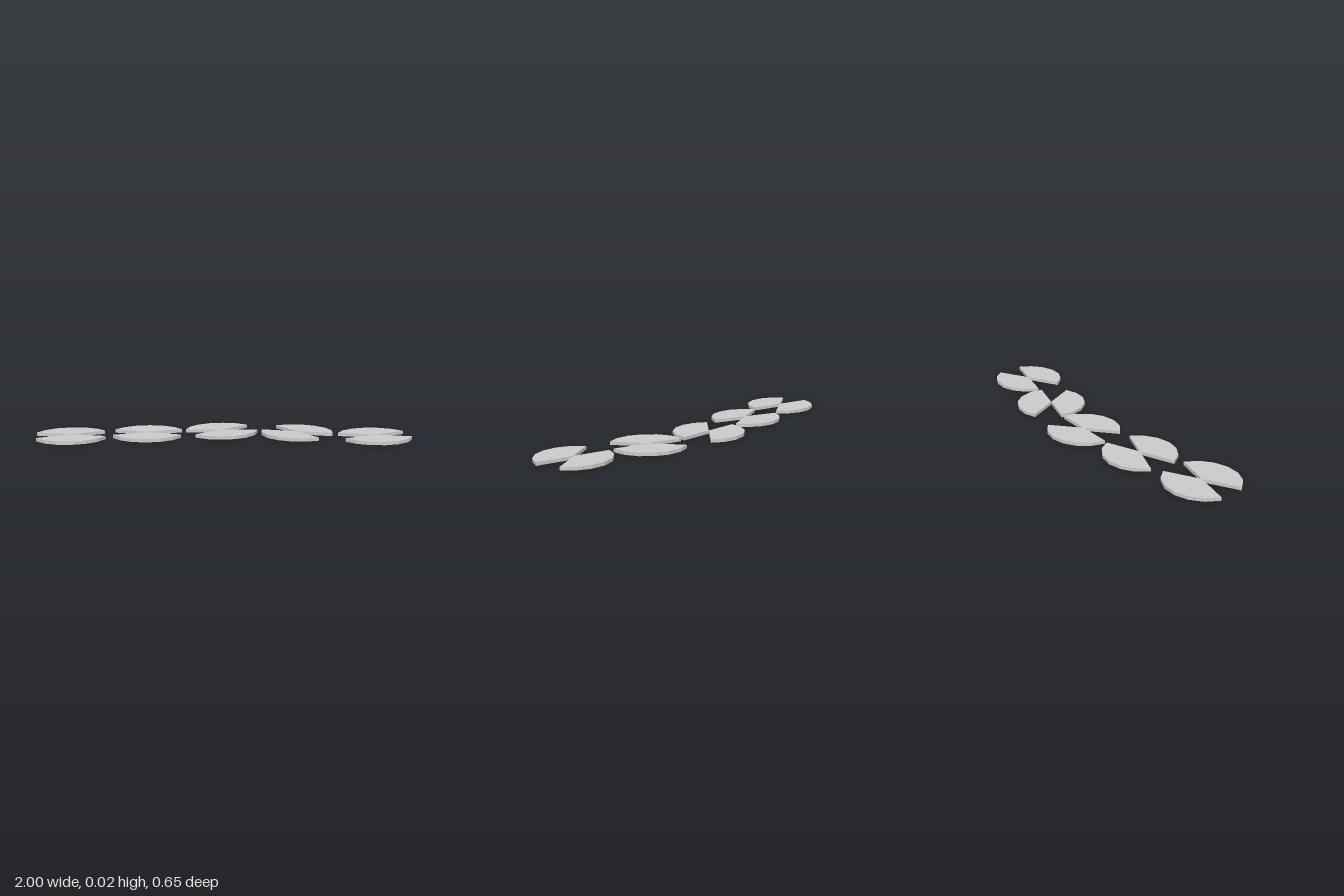
import * as THREE from 'three';

const HEIGHT = 0.018, RX = 0.2, RZ = 0.192;

// Wedge of a slightly squashed disc: apex at the origin, 135 degree faceted arc
function wedgeGeometry() {
  const shape = new THREE.Shape();
  shape.moveTo(0, 0);
  for (let i = 1; i <= 7; i++) {
    const a = (i * Math.PI) / 8;
    shape.lineTo(RX * Math.cos(a), RZ * Math.sin(a));
  }
  shape.closePath();
  const geometry = new THREE.ExtrudeGeometry(shape, { depth: HEIGHT, bevelEnabled: false });
  return geometry.rotateX(-Math.PI / 2);
}

export function createModel() {
  const model = new THREE.Group();
  model.name = 'wedgeDiscRow';
  const material = new THREE.MeshStandardMaterial({ color: 0xcccccc, flatShading: true });
  const wedge = wedgeGeometry();

  // Each disc: x, z, turn in degrees
  const discs = [
    [-0.815, -0.12, 0],
    [-0.398, -0.12, -7.5],
    [0.015, -0.131, 13.5],
    [0.417, -0.021, -45],
    [0.815, 0.132, 0],
  ];
  discs.forEach(([x, z, turn], i) => {
    const disc = new THREE.Group();
    disc.name = `disc${i + 1}`;
    disc.position.set(x, 0, z);
    disc.rotation.y = THREE.MathUtils.degToRad(turn);
    // Two opposite wedges meeting at the centre
    ['backWedge', 'frontWedge'].forEach((name, k) => {
      const mesh = new THREE.Mesh(wedge, material);
      mesh.name = name;
      mesh.rotation.y = k * Math.PI;
      disc.add(mesh);
    });
    model.add(disc);
  });
  return model;
}
